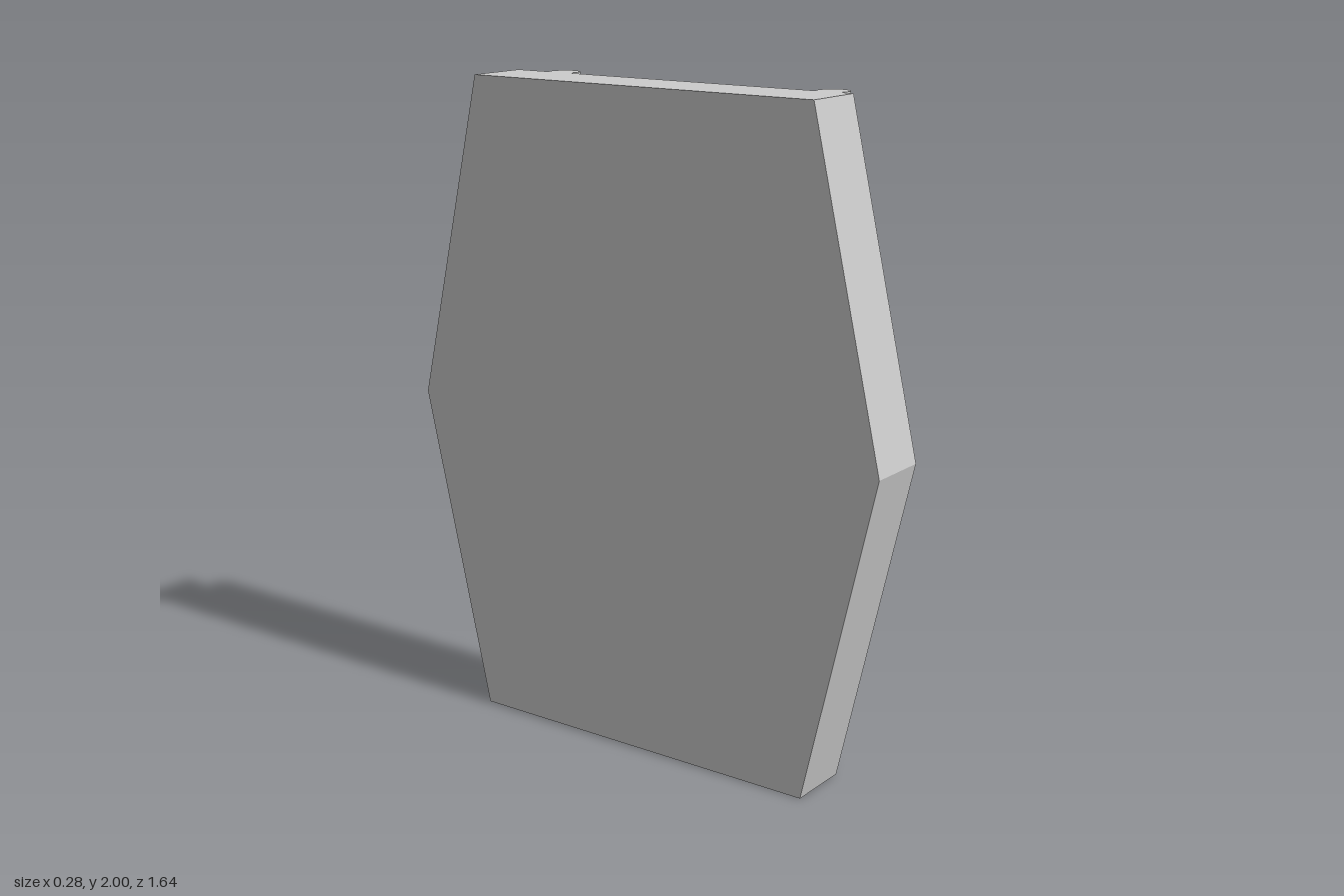
import * as THREE from 'three';

const BACK = -0.14, FACE = 0.06, FLOOR = 0.02;

// Parts are drawn in local x/y with depth on z; the whole is then turned to face +x.
export function createModel() {
  const group = new THREE.Group();
  const panel = new THREE.Group();
  panel.name = 'ladderPanel';
  panel.rotation.y = Math.PI / 2;
  group.add(panel);

  const flat = new THREE.MeshStandardMaterial({ color: 0xcccccc, flatShading: true });
  const smooth = new THREE.MeshStandardMaterial({ color: 0xcccccc });

  const add = (name, geometry, material = flat) => {
    const mesh = new THREE.Mesh(geometry, material);
    mesh.name = name;
    panel.add(mesh);
    return mesh;
  };
  const toShape = (ring) => new THREE.Shape(ring.map(([x, y]) => new THREE.Vector2(x, y)));

  // Walls between two counter-clockwise rings; inward turns them to face the inside
  const walls = (a, za, b, zb, inward = false) => {
    const pos = [];
    a.forEach((p, i) => {
      const j = (i + 1) % a.length;
      const q = [[...p, za], [...a[j], za], [...b[j], zb], [...b[i], zb]];
      const order = inward ? [0, 2, 1, 0, 3, 2] : [0, 1, 2, 0, 2, 3];
      order.forEach((k) => pos.push(...q[k]));
    });
    const g = new THREE.BufferGeometry();
    g.setAttribute('position', new THREE.Float32BufferAttribute(pos, 3));
    g.computeVertexNormals();
    return g;
  };
  const cap = (name, shape, z) => add(name, new THREE.ShapeGeometry(shape).translate(0, 0, z));

  // Six-sided slot outline with pointed ends
  const slotRing = (y, tip, shoulder, half) => [
    [-tip, y], [-shoulder, y - half], [shoulder, y - half],
    [tip, y], [shoulder, y + half], [-shoulder, y + half],
  ];

  // Plate
  const outline = [[-0.59, 0], [0.59, 0], [0.82, 1], [0.59, 2], [-0.59, 2], [-0.82, 1]];
  add('plateEdge', walls(outline, BACK, outline, FACE));
  add('plateBack', new THREE.ShapeGeometry(toShape(outline)).rotateY(Math.PI).translate(0, 0, BACK));
  const face = toShape(outline);

  // Recessed slots with sloping walls
  for (const [y, tip, shoulder] of [[0.503, 0.675, 0.57], [1.003, 0.77, 0.665], [1.503, 0.675, 0.57]]) {
    const outer = slotRing(y, tip, shoulder, 0.095);
    const inner = slotRing(y, tip - 0.02, shoulder - 0.01, 0.081);
    face.holes.push(new THREE.Path(outer.map(([x, v]) => new THREE.Vector2(x, v))));
    add('slotWalls', walls(inner, FLOOR, outer, FACE, true));
    cap('slotFloor', toShape(inner), FLOOR);
  }
  cap('plateFace', face, FACE);

  // Tapered block with bevelled front: half widths w0 at the bottom, w1 at the top
  const block = (name, y0, y1, w0, w1, z0, z1, bevelY) => {
    const ring = (dx, dy) => [
      [-w0 + dx, y0 + dy], [w0 - dx, y0 + dy], [w1 - dx, y1 - dy], [-w1 + dx, y1 - dy],
    ];
    const base = ring(0, 0), mid = ring(0.004, 0.002), front = ring(0.014, bevelY);
    add(name + 'Sides', walls(base, z0, mid, z1 - 0.012));
    add(name + 'Bevel', walls(mid, z1 - 0.012, front, z1));
    cap(name + 'Front', toShape(front), z1);
  };

  // Centre strut: blocks rising from the slots, joined by two lower bars
  block('lowerBlock', 0.427, 0.58, 0.062, 0.058, FLOOR, 0.1, 0.01);
  block('middleBlock', 0.927, 1.082, 0.07, 0.07, FLOOR, 0.1, 0.01);
  block('upperBlock', 1.427, 1.58, 0.058, 0.062, FLOOR, 0.1, 0.01);
  block('lowerBar', 0.575, 0.932, 0.057, 0.067, 0.05, 0.093, 0.004);
  block('upperBar', 1.077, 1.432, 0.067, 0.057, 0.05, 0.093, 0.004);

  // Rails and rungs
  const railX = [-0.509, 0.434];
  for (const x of railX) {
    add('rail', new THREE.CylinderGeometry(0.047, 0.047, 2, 32), smooth).position.set(x, 1, 0.09);
  }
  const span = railX[1] - railX[0];
  for (const y of [0.3, 1.778]) {
    const rung = add('rung', new THREE.CylinderGeometry(0.047, 0.047, span, 32), smooth);
    rung.rotation.z = Math.PI / 2;
    rung.position.set((railX[0] + railX[1]) / 2, y, 0.069);
  }
  return group;
}
